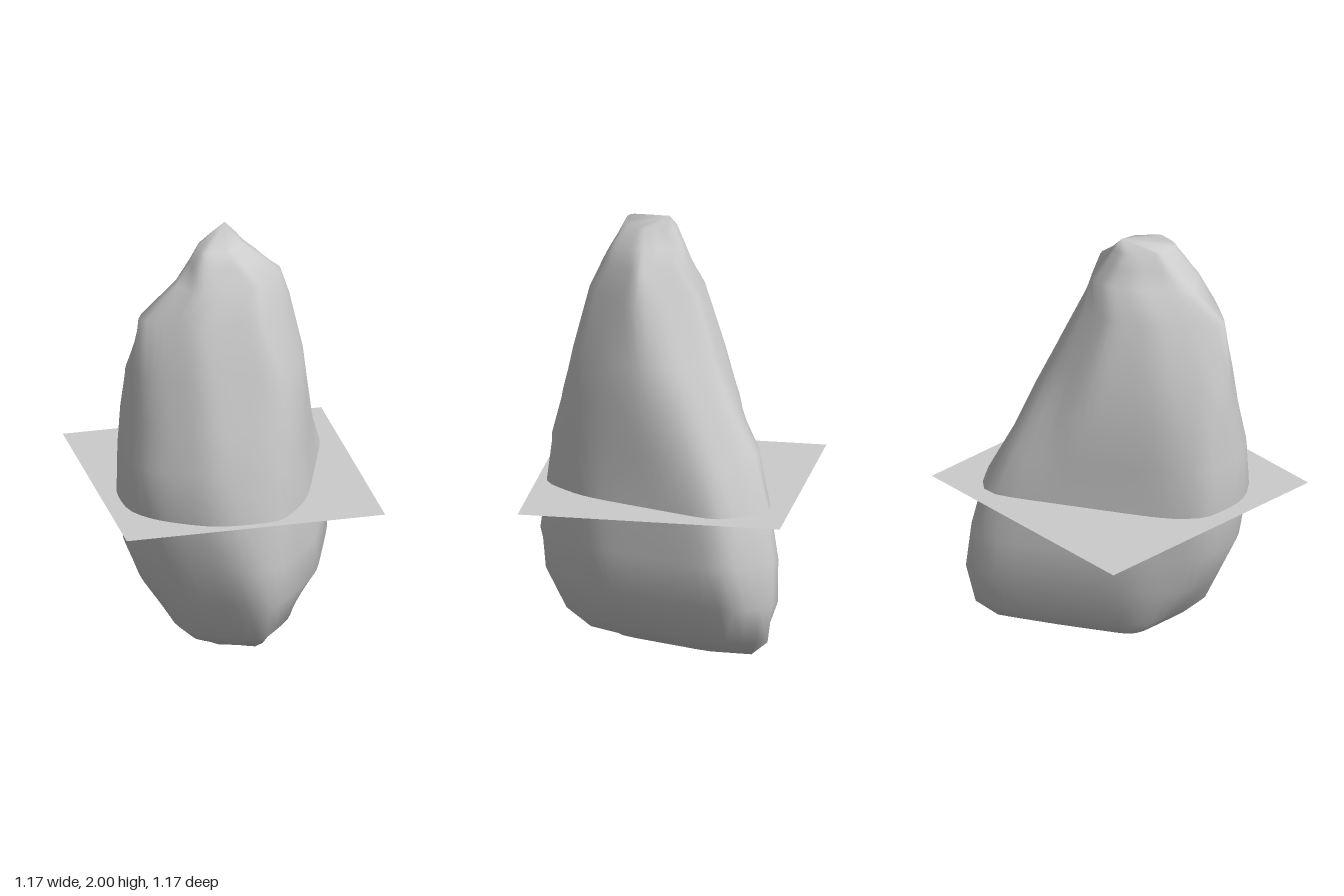
import * as THREE from 'three';
import { mergeVertices } from 'three/addons/utils/BufferGeometryUtils.js';

const SEGMENTS = 64;
const SHARPNESS = 28;
const WATER_LEVEL = 0.773;
const WATER_SIZE = 1.172;

// Horizontal directions in which each level of the rock is measured (x, z)
const DIRECTIONS = [
  [-1, 0], [1, 0], [0, -1], [0, 1],
  [-0.819, 0.574], [0.819, -0.574],   // along the long diagonal
  [0.766, 0.643], [-0.766, -0.643],   // across it
  [0.944, 0.331],                     // left flank
  [-0.524, -0.851],                   // back flank
  [-0.49, 0.87],                      // bevelled front corner
];

// Height, then the reach in the first nine directions
const LEVELS = [
  [1.95, 0.145, 0.05, 0.02, 0.22, 0.24, 0.035, 0.12, 0.045, 0.10],
  [1.88, 0.19, 0.13, 0.055, 0.255, 0.28, 0.075, 0.19, 0.075, 0.19],
  [1.80, 0.26, 0.25, 0.09, 0.30, 0.33, 0.13, 0.25, 0.11, 0.275],
  [1.67, 0.46, 0.28, 0.14, 0.36, 0.51, 0.17, 0.30, 0.21, 0.32],
  [1.40, 0.485, 0.34, 0.235, 0.425, 0.515, 0.295, 0.385, 0.30, 0.36],
  [1.20, 0.495, 0.38, 0.31, 0.47, 0.53, 0.39, 0.42, 0.34, 0.37],
  [1.00, 0.505, 0.425, 0.435, 0.52, 0.57, 0.475, 0.44, 0.36, 0.38],
  [0.785, 0.51, 0.52, 0.50, 0.545, 0.575, 0.585, 0.45, 0.36, 0.39],
  [0.55, 0.48, 0.55, 0.54, 0.58, 0.535, 0.64, 0.455, 0.335, 0.42],
  [0.36, 0.40, 0.555, 0.555, 0.56, 0.45, 0.66, 0.43, 0.305, 0.42],
  [0.18, 0.28, 0.45, 0.56, 0.50, 0.38, 0.615, 0.36, 0.26, 0.31],
  [0.10, 0.20, 0.38, 0.47, 0.39, 0.30, 0.53, 0.31, 0.20, 0.20],
  [0.04, 0.12, 0.24, 0.26, 0.23, 0.20, 0.33, 0.20, 0.10, 0.09],
];

// Rounded outline lying inside all the measured limits of one level
function outline([y, ...reach]) {
  const back = y > 0.6 ? 0.77 : 0.9;
  const bevel = y > 1.75 ? 0.95 : y > 0.6 ? 0.77 : 0.7;
  const limits = [...reach, reach[7] * back, (reach[0] * 0.49 + reach[3] * 0.87) * bevel];
  const cx = (reach[1] - reach[0]) / 2;
  const cz = (reach[3] - reach[2]) / 2;
  const ring = [];
  for (let j = 0; j < SEGMENTS; j++) {
    const a = (j / SEGMENTS) * Math.PI * 2;
    const c = Math.cos(a), s = Math.sin(a);
    let sum = 0;
    DIRECTIONS.forEach(([dx, dz], k) => {
      const room = Math.max(limits[k] - cx * dx - cz * dz, 0.01);
      sum += Math.max(0, (c * dx + s * dz) / room) ** SHARPNESS;
    });
    const r = sum ** (-1 / SHARPNESS);
    ring.push([cx + r * c, y, cz + r * s]);
  }
  return ring;
}

function rockGeometry() {
  const point = (x, y, z) => Array.from({ length: SEGMENTS }, () => [x, y, z]);
  const rings = [point(0, 2, 0.01), ...LEVELS.map(outline), point(-0.05, 0, 0.1)];
  const index = [];
  for (let i = 0; i < rings.length - 1; i++) {
    for (let j = 0; j < SEGMENTS; j++) {
      const n = (j + 1) % SEGMENTS;
      const a = i * SEGMENTS + j, b = i * SEGMENTS + n;
      const c = a + SEGMENTS, d = b + SEGMENTS;
      // the two tips need only one triangle per side
      if (i > 0) index.push(a, b, c);
      if (i < rings.length - 2) index.push(b, d, c);
    }
  }
  const geometry = new THREE.BufferGeometry();
  geometry.setAttribute('position', new THREE.Float32BufferAttribute(rings.flat(2), 3));
  geometry.setIndex(index);
  const merged = mergeVertices(geometry, 1e-5);
  merged.computeVertexNormals();
  return merged;
}

export function createModel() {
  const model = new THREE.Group();
  model.name = 'rockInWater';

  // Tall, smooth boulder
  const rock = new THREE.Mesh(rockGeometry(), new THREE.MeshStandardMaterial({ color: 0xcccccc }));
  rock.name = 'rock';

  // Flat square water surface cutting through the boulder
  const water = new THREE.Mesh(
    new THREE.PlaneGeometry(WATER_SIZE, WATER_SIZE).rotateX(-Math.PI / 2),
    new THREE.MeshStandardMaterial({ color: 0xcccccc, side: THREE.DoubleSide }),
  );
  water.name = 'waterSurface';
  water.position.y = WATER_LEVEL;

  model.add(rock, water);
  return model;
}
